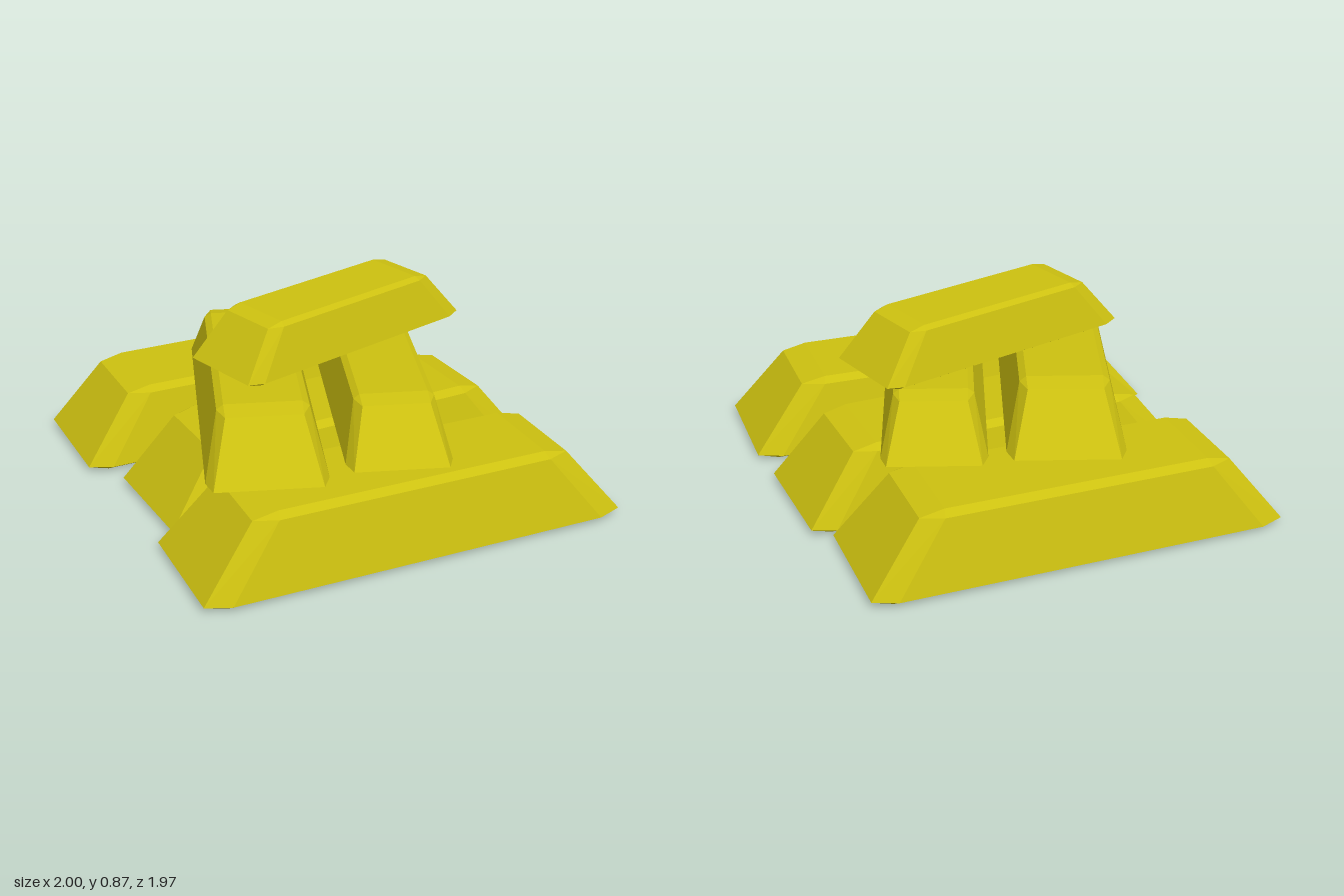
import * as THREE from 'three';
import { ConvexGeometry } from 'three/addons/geometries/ConvexGeometry.js';

// Corner rings of a bevelled ingot: fractions of half length, height, half width
const CORNERS = [
  [0.90, 0, 0.89],      // underside
  [1.00, 0.075, 0.885], // end face, lower edge
  [0.885, 0.06, 1.00],  // long side, lower edge
  [0.75, 0.93, 0.635],  // end face, upper edge
  [0.645, 0.93, 0.76],  // long side, upper edge
  [0.635, 1, 0.645],    // flat top
];

function ingotGeometry(halfLength, height, halfWidth) {
  const points = [];
  for (const [x, y, z] of CORNERS) {
    for (const sx of [-1, 1]) {
      for (const sz of [-1, 1]) {
        points.push(new THREE.Vector3(sx * x * halfLength, y * height, sz * z * halfWidth));
      }
    }
  }
  return new ConvexGeometry(points);
}

export function createModel() {
  const group = new THREE.Group();
  group.name = 'ingotStack';
  const gold = new THREE.MeshStandardMaterial({ color: 0xccc010, flatShading: true });

  // name, half length, height, half width, position, turn about y
  const bars = [
    // bottom layer
    ['bottomBackIngot', 0.925, 0.345, 0.31, [-0.075, 0, -0.67], 0.011],
    ['bottomMiddleIngot', 0.91, 0.345, 0.31, [0.04, 0, -0.008], 0.063],
    ['bottomFrontIngot', 0.965, 0.345, 0.31, [0.025, 0, 0.664], -0.014],
    // crossing layer
    ['middleRightIngot', 0.766, 0.277, 0.254, [-0.331, 0.35, 0.006], 1.247],
    ['middleLeftIngot', 0.728, 0.247, 0.226, [0.221, 0.35, 0.115], 1.248],
    // top
    ['topIngot', 0.62, 0.23, 0.215, [0.042, 0.635, -0.011], 0.284],
  ];
  for (const [name, halfLength, height, halfWidth, position, turn] of bars) {
    const bar = new THREE.Mesh(ingotGeometry(halfLength, height, halfWidth), gold);
    bar.name = name;
    bar.position.set(...position);
    bar.rotation.y = turn;
    group.add(bar);
  }
  return group;
}
